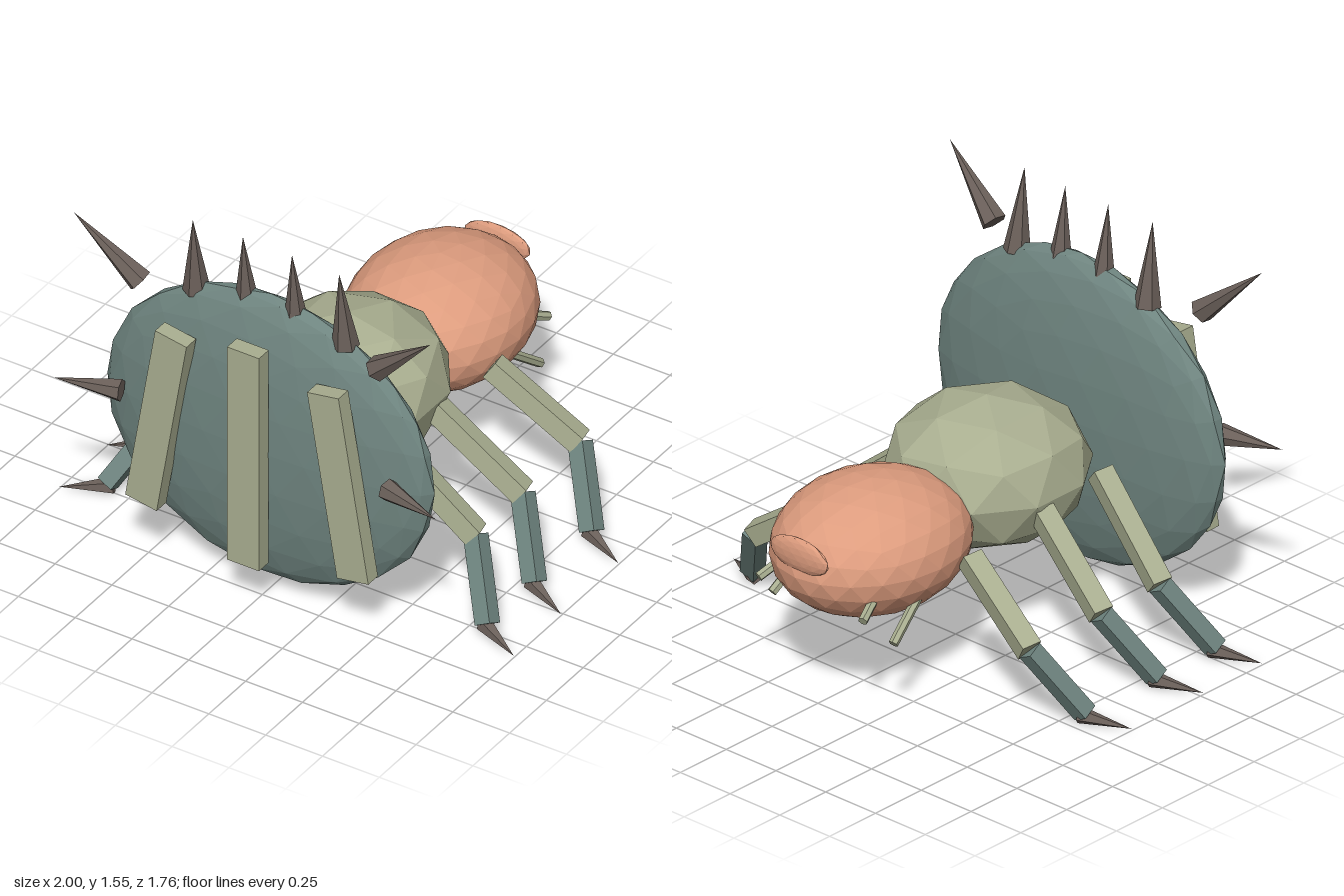
import * as THREE from 'three';

const paint = (color) => new THREE.MeshStandardMaterial({ color, flatShading: true });
const UP = new THREE.Vector3(0, 1, 0);

export function createModel() {
  const model = new THREE.Group();
  const slate = paint(0x6f8580), sage = paint(0xa9ae90), copper = paint(0xdd9c7e), horn = paint(0x6b605a);

  const add = (name, geometry, material) => {
    const mesh = new THREE.Mesh(geometry, material);
    mesh.name = name;
    model.add(mesh);
    return mesh;
  };

  // faceted ellipsoid with a vertex at its top
  const ellipsoid = (name, material, detail, center, radii) => {
    const g = new THREE.IcosahedronGeometry(1, detail);
    g.rotateX(-Math.atan((1 + Math.sqrt(5)) / 2));
    g.rotateY(Math.PI / 2);
    g.scale(...radii);
    add(name, g, material).position.set(...center);
  };

  // straight piece running from point a to point b
  const between = (name, material, a, b, makeGeometry) => {
    const from = new THREE.Vector3(...a), to = new THREE.Vector3(...b);
    const dir = to.clone().sub(from);
    const mesh = add(name, makeGeometry(dir.length()), material);
    mesh.position.copy(from).add(to).multiplyScalar(0.5);
    mesh.quaternion.setFromUnitVectors(UP, dir.normalize());
  };
  const beam = (w) => (len) => new THREE.BoxGeometry(w, len, w);
  const cone = (r, sides) => (len) => new THREE.ConeGeometry(r, len, sides);
  const rod = (r) => (len) => new THREE.CylinderGeometry(r, r, len, 6);

  // body
  ellipsoid('shield', slate, 3, [0, 0.695, 0.69], [0.72, 0.63, 0.13]);
  ellipsoid('thorax', sage, 1, [0, 0.64, 0.17], [0.39, 0.295, 0.41]);
  ellipsoid('head', copper, 3, [0, 0.572, -0.46], [0.35, 0.258, 0.415]);
  ellipsoid('snout', copper, 2, [0, 0.657, -0.85], [0.145, 0.07, 0.026]);

  // ridges on the shield
  add('middleRidge', new THREE.BoxGeometry(0.14, 0.96, 0.066), sage).position.set(0, 0.69, 0.848);

  for (const s of [1, -1]) {
    const side = s > 0 ? 'left' : 'right';
    const m = ([x, y, z]) => [s * x, y, z];

    const ridge = add(side + 'Ridge', new THREE.BoxGeometry(0.14, 0.8, 0.066), sage);
    ridge.position.set(s * 0.4, 0.695, 0.823);
    ridge.rotation.z = s * 0.165;

    // spikes around the shield: base, tip, radius
    const spikes = [
      [[0.108, 1.275, 0.69], [0.108, 1.555, 0.715], 0.042],
      [[0.328, 1.22, 0.69], [0.322, 1.555, 0.725], 0.053],
      [[0.52, 1.235, 0.775], [0.785, 1.47, 0.82], 0.05],
      [[0.585, 0.732, 0.805], [0.84, 0.732, 0.87], 0.045],
    ];
    for (const [base, tip, r] of spikes) between(side + 'Spike', horn, m(base), m(tip), cone(r, 6));

    // legs: hip height and z offset
    for (const [hipY, dz] of [[0.635, 0], [0.595, -0.32], [0.55, -0.71]]) {
      const hip = [0.34, hipY, 0.42 + dz], knee = [0.69, 0.31, 0.365 + dz];
      const ankle = [0.835, 0.045, 0.51 + dz], toe = [1, 0.008, 0.585 + dz];
      between(side + 'Thigh', sage, m(hip), m(knee), beam(0.08));
      between(side + 'Shin', slate, m(knee), m(ankle), beam(0.068));
      between(side + 'Claw', horn, m([0.815, 0.035, 0.5 + dz]), m(toe), cone(0.035, 5));
    }

    // feelers
    between(side + 'Feeler', sage, m([0.28, 0.46, -0.5]), m([0.305, 0.325, -0.67]), rod(0.019));
    between(side + 'FrontFeeler', sage, m([0.225, 0.51, -0.67]), m([0.262, 0.45, -0.79]), rod(0.019));
  }
  return model;
}
